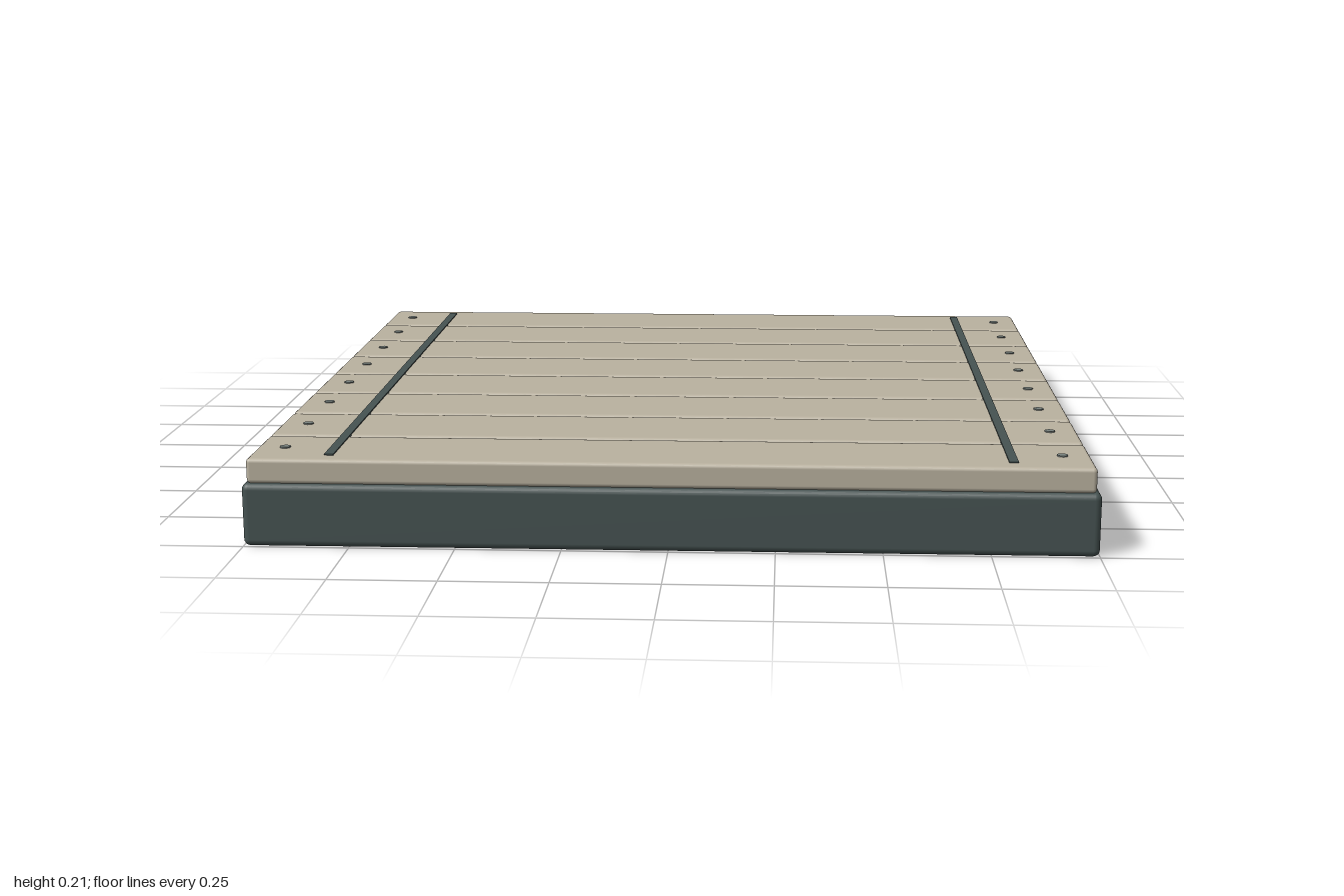
import * as THREE from 'three';
import { RoundedBoxGeometry } from 'three/addons/geometries/RoundedBoxGeometry.js';

const frameMat = new THREE.MeshStandardMaterial({ color: 0x465352 });
const plankMat = new THREE.MeshStandardMaterial({ color: 0xbab2a0 });
const boltMat = new THREE.MeshStandardMaterial({ color: 0x78817e });

export function createModel() {
  const model = new THREE.Group();
  const add = (name, geometry, material, x, y, z) => {
    const mesh = new THREE.Mesh(geometry, material);
    mesh.name = name;
    mesh.position.set(x, y, z);
    model.add(mesh);
  };

  // Solid base slab with softened edges
  add('base', new RoundedBoxGeometry(2, 0.152, 2, 3, 0.016), frameMat, 0, 0.076, 0);

  // Eight planks, each fixed with a bolt at either end
  const plank = new RoundedBoxGeometry(1.975, 0.06, 0.238, 3, 0.01);
  const bolt = new THREE.CylinderGeometry(0.013, 0.013, 0.008, 16);
  for (let i = 0; i < 8; i++) {
    const z = -0.875 + i * 0.25;
    add('plank', plank, plankMat, 0, 0.181, z);
    for (const side of [-1, 1]) add('bolt', bolt, boltMat, side * 0.92, 0.21, z);
  }

  // Thin inlay strips running across the planks
  const strip = new THREE.BoxGeometry(0.022, 0.006, 1.9);
  for (const side of [-1, 1]) add('inlayStrip', strip, frameMat, side * 0.8, 0.211, 0);

  return model;
}
